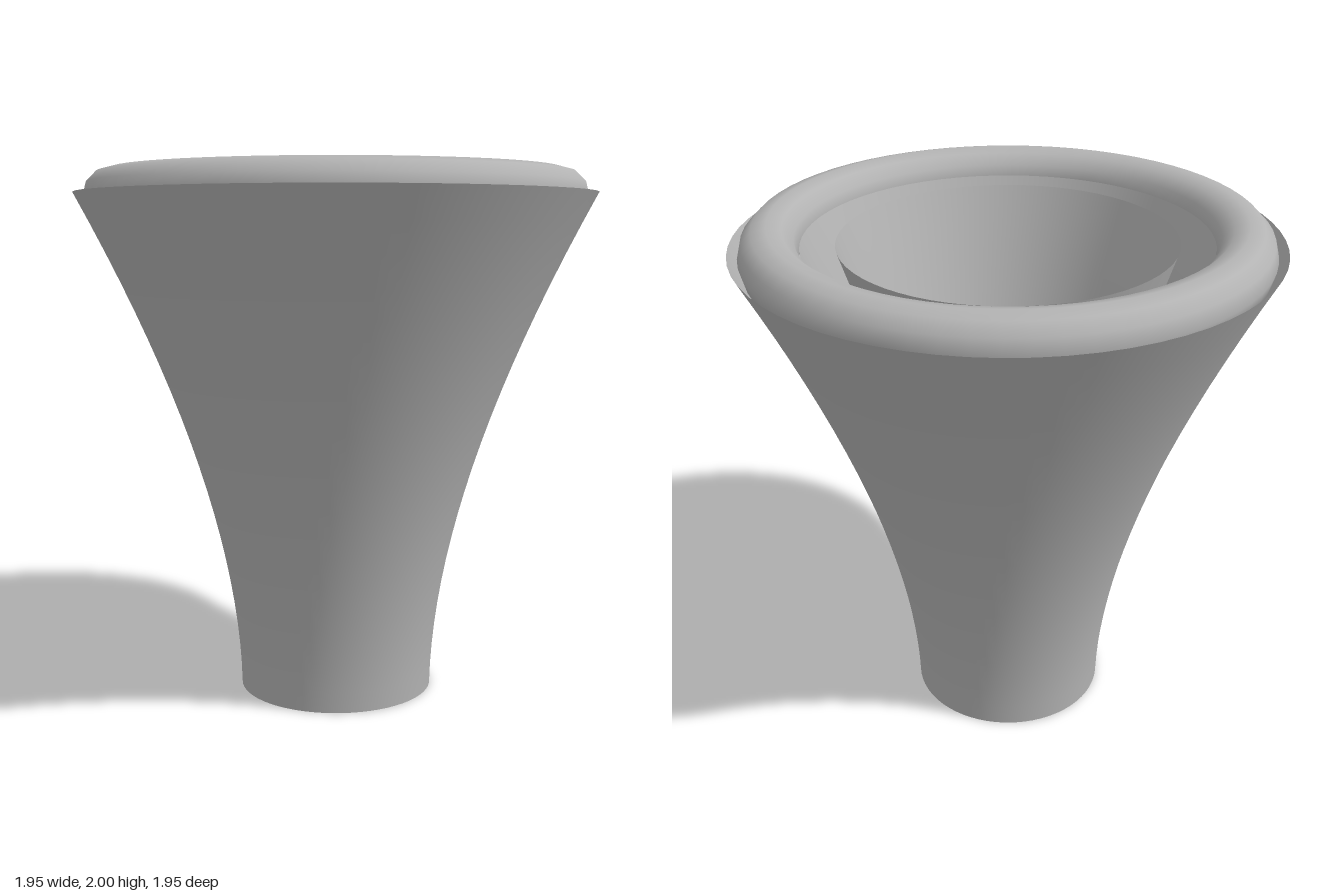
import * as THREE from 'three';

export function createModel() {
  const group = new THREE.Group();
  group.name = 'flaredVessel';

  const grey = new THREE.MeshStandardMaterial({ color: 0xb3b3b3, side: THREE.DoubleSide });
  grey.name = 'grey';

  // Flared wall profile: nearly upright at the foot, opening steadily to the rim
  const rimHeight = 1.91;
  const profile = new THREE.QuadraticBezierCurve(
    new THREE.Vector2(0.373, 0),
    new THREE.Vector2(0.388, 0.8),
    new THREE.Vector2(0.975, rimHeight)
  ).getPoints(20);

  // Four nested open shells, each a narrower copy of the outermost
  const names = ['outerShell', 'secondShell', 'thirdShell', 'innerShell'];
  names.forEach((name, i) => {
    const scale = 1 - i * 0.1265;
    const points = profile.map((p) => new THREE.Vector2(p.x * scale, p.y));
    const shell = new THREE.Mesh(new THREE.LatheGeometry(points, 64), grey);
    shell.name = name;
    group.add(shell);
  });

  // Rounded lip resting on the shell rims
  const tube = 0.105;
  const lip = new THREE.Mesh(new THREE.TorusGeometry(0.835, tube, 12, 64), grey);
  lip.name = 'lip';
  lip.rotation.x = -Math.PI / 2;
  lip.position.y = 2 - tube;
  group.add(lip);

  return group;
}
